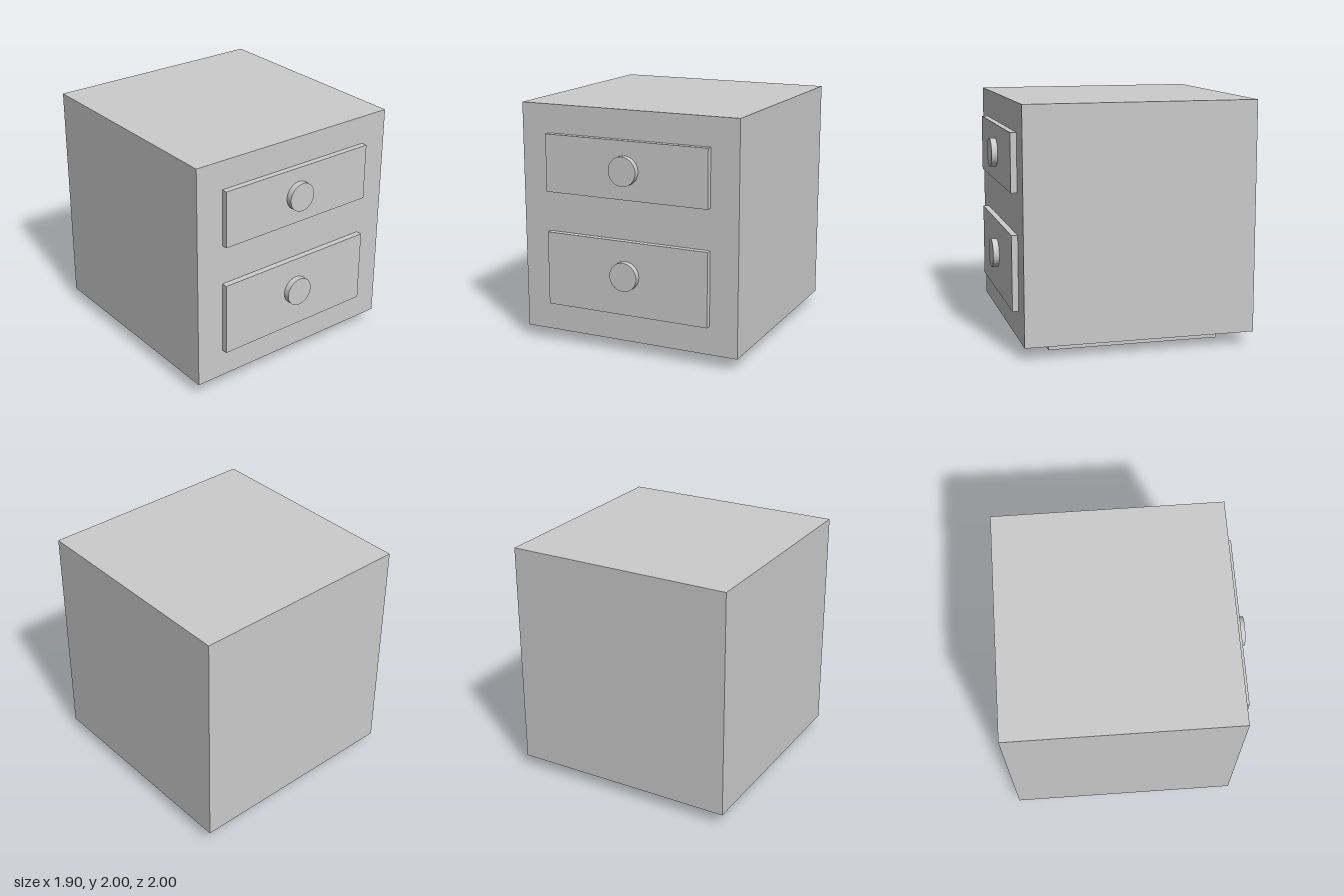
import * as THREE from 'three';

const material = new THREE.MeshStandardMaterial({ color: 0xcccccc });

function addMesh(parent, name, geometry, x, y, z) {
  const mesh = new THREE.Mesh(geometry, material);
  mesh.name = name;
  mesh.position.set(x, y, z);
  parent.add(mesh);
  return mesh;
}

export function createModel() {
  const model = new THREE.Group();
  model.name = 'bedsideCabinet';

  const frontZ = 0.9, panelDepth = 0.05, knobDepth = 0.05;

  // Cabinet body on a recessed plinth
  addMesh(model, 'cabinetBody', new THREE.BoxGeometry(1.9, 1.9, 1.9), 0, 1.05, -0.05);
  addMesh(model, 'plinth', new THREE.BoxGeometry(1.425, 0.1, 1.425), 0, 0.05, -0.05);

  // Drawers: a raised front panel with a round knob in the middle
  const drawers = [
    { name: 'upperDrawer', y: 1.527, height: 0.475 },
    { name: 'lowerDrawer', y: 0.645, height: 0.615, knobY: 0.67 },
  ];
  for (const { name, y, height, knobY = y } of drawers) {
    const drawer = new THREE.Group();
    drawer.name = name;
    addMesh(drawer, 'drawerFront', new THREE.BoxGeometry(1.425, height, panelDepth),
      0, y, frontZ + panelDepth / 2);
    const knob = addMesh(drawer, 'drawerKnob', new THREE.CylinderGeometry(0.119, 0.119, knobDepth, 64),
      0, knobY, frontZ + panelDepth + knobDepth / 2);
    knob.rotation.x = Math.PI / 2;
    model.add(drawer);
  }

  return model;
}
